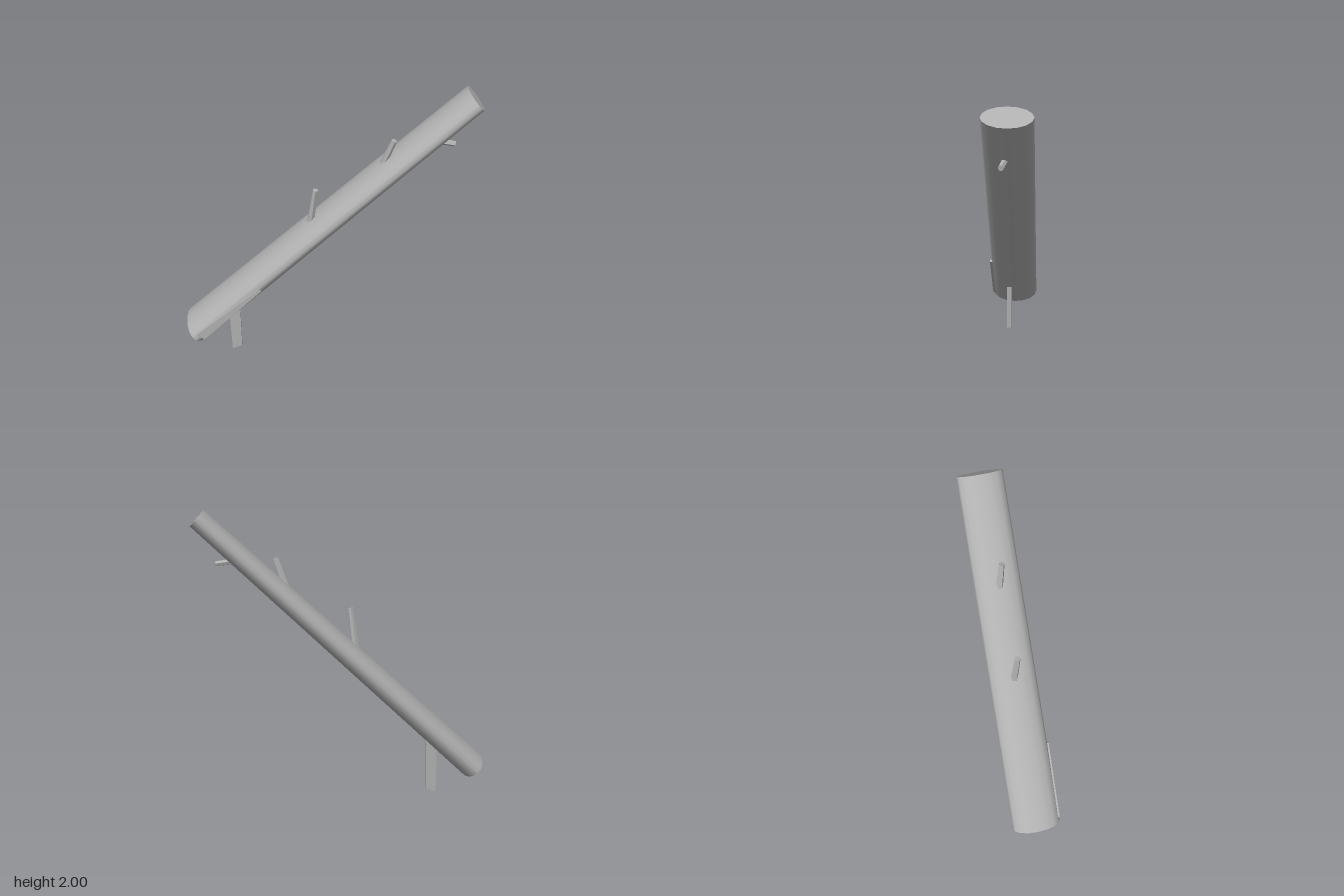
import * as THREE from 'three';

const wood = new THREE.MeshStandardMaterial({ color: 0xb0b0b0 });
wood.name = 'grey wood';

function add(group, name, geometry) {
  const mesh = new THREE.Mesh(geometry, wood);
  mesh.name = name;
  group.add(mesh);
  return mesh;
}

// Flat board: an xy outline extruded between two z values
function board(points, zBack, zFront) {
  const shape = new THREE.Shape(points.map(([x, y]) => new THREE.Vector2(x, y)));
  const geometry = new THREE.ExtrudeGeometry(shape, { depth: zFront - zBack, bevelEnabled: false });
  return geometry.translate(0, 0, zBack);
}

// Tapered six-sided twig reaching from base to tip
function twig(group, name, base, tip, baseRadius, tipRadius) {
  const a = new THREE.Vector3(...base);
  const b = new THREE.Vector3(...tip);
  const dir = b.clone().sub(a);
  const geometry = new THREE.CylinderGeometry(tipRadius, baseRadius, dir.length(), 6).toNonIndexed();
  geometry.computeVertexNormals();
  const mesh = add(group, name, geometry);
  mesh.position.copy(a).add(b).multiplyScalar(0.5);
  mesh.quaternion.setFromUnitVectors(new THREE.Vector3(0, 1, 0), dir.normalize());
}

export function createModel() {
  const group = new THREE.Group();
  group.name = 'leaningLog';

  // Trunk: a tapered, flattened cylinder that thins a little more toward the top
  const length = 2.511;
  const trunk = new THREE.CylinderGeometry(0.138, 0.173, length, 16).scale(0.513, 1, 1);
  const p = trunk.attributes.position;
  for (let i = 0; i < p.count; i++) {
    const t = p.getY(i) / length + 0.5;
    p.setX(i, p.getX(i) * THREE.MathUtils.lerp(1.06, 0.935, t));
  }
  const log = add(group, 'trunk', trunk);
  log.position.set(0.005, 1.087, -0.003);
  log.rotation.z = -Math.atan2(1.82, 1.73);

  // Tapered strip set into the front flank of the trunk
  add(group, 'sideStrip', board(
    [[-0.841, 0.228], [-0.423, 0.651], [-0.439, 0.667], [-0.894, 0.27]], 0.11, 0.172));

  // Short supporting leg under the low end
  add(group, 'leg', board(
    [[-0.663, 0.004], [-0.592, 0.037], [-0.583, 0.385], [-0.66, 0.352]], 0.017, 0.052));

  // Broken twigs
  twig(group, 'lowerTwig', [-0.08, 1.06, -0.002], [-0.046, 1.358, 0.03], 0.026, 0.018);
  twig(group, 'upperTwig', [0.37, 1.49, -0.002], [0.437, 1.698, 0.03], 0.024, 0.018);
  twig(group, 'underTwig', [0.64, 1.69, 0.005], [0.814, 1.665, 0.034], 0.021, 0.017);

  return group;
}
